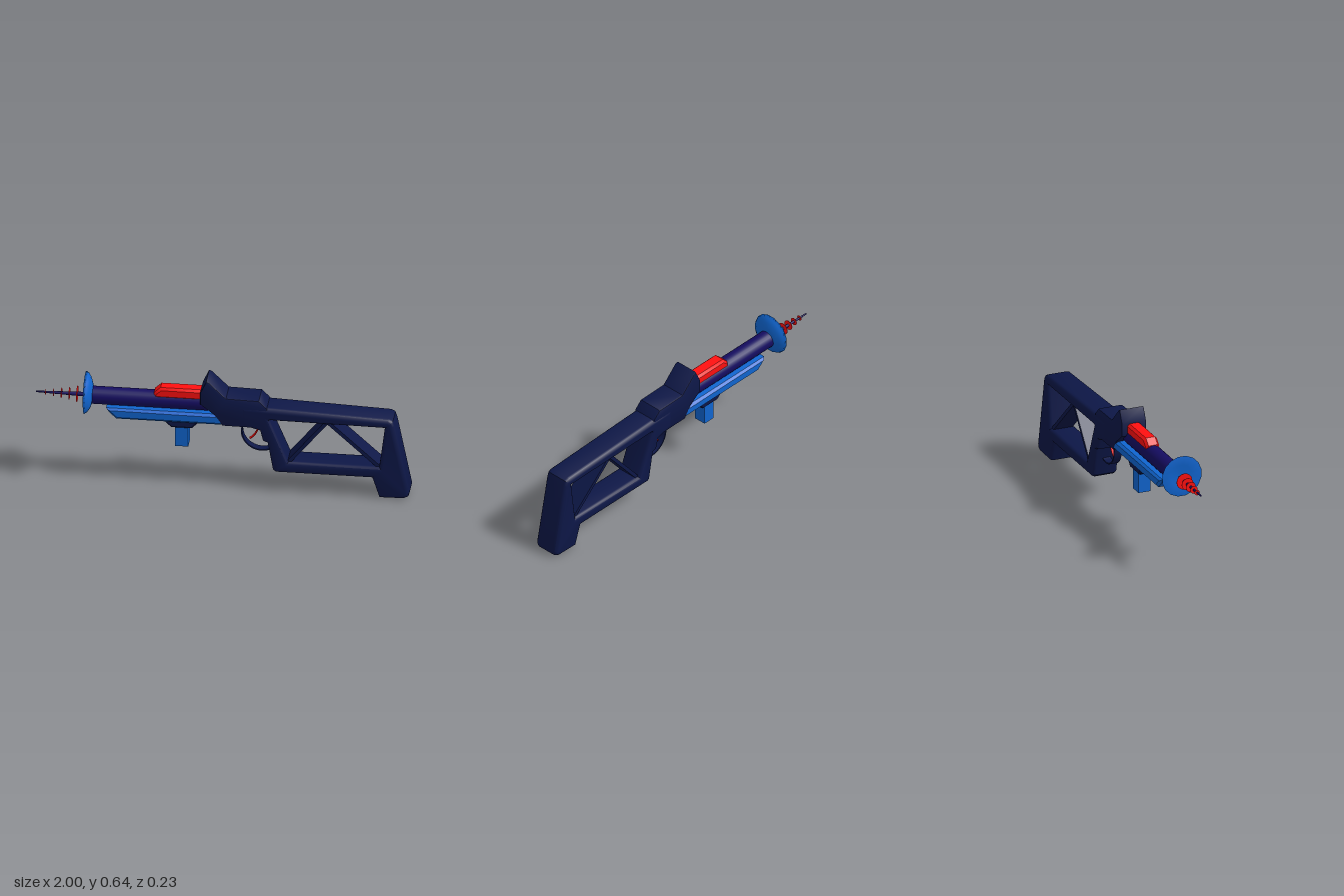
import * as THREE from 'three';
import { toCreasedNormals } from 'three/addons/utils/BufferGeometryUtils.js';

const mat = (color) => new THREE.MeshStandardMaterial({ color, side: THREE.DoubleSide });
const Z0 = -0.004; // centre plane of the body
const AXIS_Y = 0.485; // barrel axis

const vec = (pts) => pts.map(([x, y]) => new THREE.Vector2(x, y));

// Side profile extruded across z, with bevelled edges kept inside the outline
function slab(pts, halfWidth, bevel, segments = 1, holes = []) {
  const shape = new THREE.Shape(vec(pts));
  holes.forEach((h) => shape.holes.push(new THREE.Path(vec(h))));
  const geo = new THREE.ExtrudeGeometry(shape, {
    depth: 2 * (halfWidth - bevel),
    bevelEnabled: bevel > 0,
    bevelSize: bevel,
    bevelThickness: bevel,
    bevelOffset: -bevel,
    bevelSegments: segments,
  });
  geo.translate(0, 0, Z0 - halfWidth + bevel);
  return toCreasedNormals(geo, 0.6);
}

export function createModel() {
  const group = new THREE.Group();
  const navy = mat(0x0d1747), indigo = mat(0x140c60), blue = mat(0x1065d0), red = mat(0xff1010);
  const add = (name, geo, material) => {
    const mesh = new THREE.Mesh(geo, material);
    mesh.name = name;
    group.add(mesh);
    return mesh;
  };
  // Turned part lying along x
  const addAxial = (name, geo, material, x, y = AXIS_Y, z = Z0) => {
    geo.rotateZ(-Math.PI / 2);
    add(name, geo, material).position.set(x, y, z);
  };

  // Skeleton stock with grip and butt
  add('stock', slab([
    [0.1, 0.5], [0.24, 0.498], [0.885, 0.473], [0.908, 0.462], [0.918, 0.435],
    [0.997, 0.04], [0.99, 0.015], [0.965, 0.002], [0.835, 0], [0.797, 0.117],
    [0.285, 0.117], [0.268, 0.13], [0.24, 0.29], [0.215, 0.3], [0.2, 0.36], [0.1, 0.39],
  ], 0.0735, 0.022, 3, [[[0.25, 0.427], [0.352, 0.183], [0.835, 0.183], [0.865, 0.42]]]), navy);

  // Diagonal struts inside the stock opening
  [[0.345, 0.17, 0.56, 0.435], [0.555, 0.435, 0.85, 0.165]].forEach(([x1, y1, x2, y2]) => {
    const strut = add('stockStrut',
      new THREE.BoxGeometry(Math.hypot(x2 - x1, y2 - y1), 0.02, 0.11), navy);
    strut.position.set((x1 + x2) / 2, (y1 + y2) / 2, Z0);
    strut.rotation.z = Math.atan2(y2 - y1, x2 - x1);
  });

  // Receiver with raised rear sight
  add('receiver', slab([
    [-0.118, 0.5], [-0.118, 0.57], [-0.085, 0.641], [-0.068, 0.633], [0.02, 0.546],
    [0.195, 0.542], [0.235, 0.503], [0.26, 0.44], [0.2, 0.378], [0, 0.38], [-0.04, 0.44],
  ], 0.071, 0.008, 2), navy);

  // Barrel
  addAxial('barrel', new THREE.CylinderGeometry(0.048, 0.048, 0.62, 24), indigo, -0.39);

  // Handguard with sloped nose
  add('handguard', slab([[-0.62, 0.442], [0.005, 0.442], [0.005, 0.38], [-0.565, 0.38], [-0.605, 0.417]],
    0.069, 0.014), blue);

  // Foregrip and its tapered mount
  add('foregripMount', slab([[-0.315, 0.385], [-0.13, 0.385], [-0.13, 0.375], [-0.165, 0.338],
    [-0.275, 0.338], [-0.315, 0.375]], 0.045, 0.008), navy);
  add('foregrip', new THREE.BoxGeometry(0.07, 0.125, 0.07), blue).position.set(-0.22, 0.287, Z0);

  // Block on top of the barrel
  add('topBlock', slab([[-0.368, 0.505], [-0.368, 0.535], [-0.333, 0.567], [-0.105, 0.567], [-0.105, 0.505]],
    0.039, 0.013), red);

  // Dish behind the needle: convex at the rear, slightly hollow in front
  const dish = new THREE.LatheGeometry(vec([
    [0.001, 0.012], [0.06, 0.008], [0.115, 0], [0.106, 0.014], [0.085, 0.028], [0.05, 0.04], [0.001, 0.045],
  ]), 16);
  dish.rotateY(Math.PI / 16);
  addAxial('dish', dish, blue, -0.737, 0.498, 0);

  // Needle with shrinking rings
  addAxial('needle', new THREE.CylinderGeometry(0.013, 0.004, 0.29, 12), indigo, -0.855);
  [0.045, 0.034, 0.028, 0.021, 0.015].forEach((r, i) => {
    addAxial('needleRing', new THREE.CylinderGeometry(r, r, 0.002, 16), red, -0.78 - i * 0.042);
  });

  // Trigger guard band
  const guard = new THREE.Shape();
  const a0 = 2.6, a1 = 5.1;
  guard.absarc(0.205, 0.33, 0.111, a0, a1, false);
  guard.absarc(0.205, 0.33, 0.104, a1, a0, true);
  const guardGeo = new THREE.ExtrudeGeometry(guard, { depth: 0.044, bevelEnabled: false, curveSegments: 20 });
  guardGeo.translate(0, 0, Z0 - 0.022);
  add('triggerGuard', toCreasedNormals(guardGeo, 0.6), navy);

  // Curved trigger
  const triggerPath = new THREE.QuadraticBezierCurve3(
    new THREE.Vector3(0.19, 0.385, Z0), new THREE.Vector3(0.185, 0.31, Z0), new THREE.Vector3(0.14, 0.28, Z0));
  const trigger = add('trigger', new THREE.TubeGeometry(triggerPath, 10, 0.005, 6), red);
  trigger.scale.z = 2;
  trigger.position.z = -Z0;
  return group;
}
